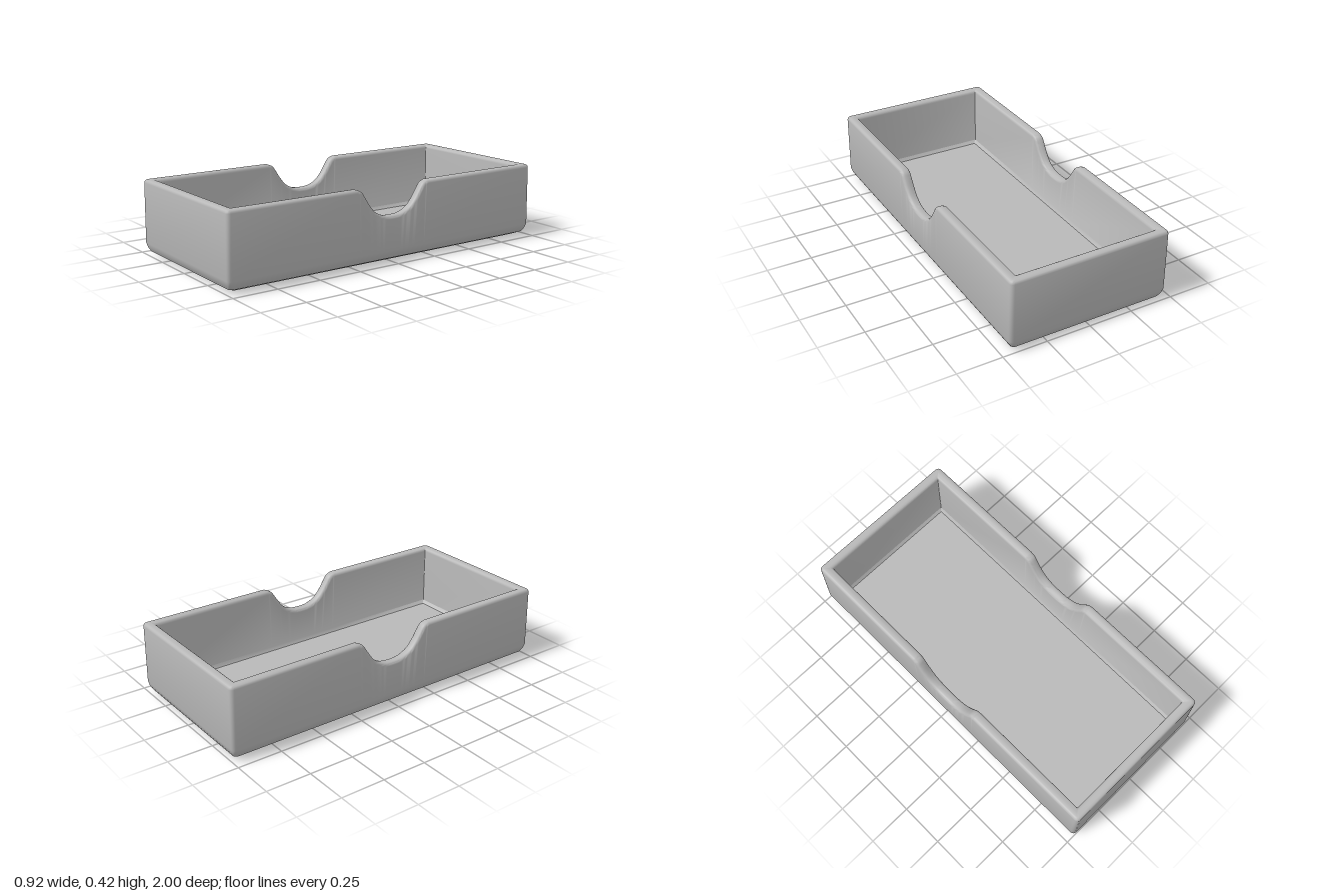
import * as THREE from 'three';
import { toCreasedNormals } from 'three/addons/utils/BufferGeometryUtils.js';

const TOP = 0.417;

// Finger notch edge, from the middle of a long side (z = 0) out to the straight rim
const notchHalf = [[0, 0.253], [0.06, 0.259], [0.112, 0.284], [0.15, 0.325], [0.18, 0.37], [0.204, 0.403], [0.235, TOP]];
const notchCurve = new THREE.CatmullRomCurve3(
  [...notchHalf.slice(1).reverse().map(([z, y]) => [z, y]), ...notchHalf.map(([z, y]) => [-z, y])]
    .map(([z, y]) => new THREE.Vector3(0, y, z)));
const STEPS = 48;
const notch = [];
for (let i = 0; i <= STEPS; i++) {
  const p = notchCurve.getPoint(i / STEPS);
  const t = notchCurve.getTangent(i / STEPS);
  const end = i === 0 || i === STEPS;
  notch.push({ z: p.z, y: p.y, nz: end ? 0 : t.y, ny: end ? 1 : -t.z }); // normal points up and out
}

// Wall section: half width, half length, corner radius, then height y or depth d below the rim
const outerWall = [
  { x: 0.395, z: 0.935, r: 0.01, y: 0 },
  { x: 0.44, z: 0.982, r: 0.02, y: 0.02 },
  { x: 0.453, z: 0.994, r: 0.022, y: 0.042 },
  { x: 0.46, z: 1.0, r: 0.022, y: 0.067 },
];
const rim = [];
for (let i = 0; i <= 4; i++) { // outer rounding
  const a = (i / 4) * Math.PI / 2, s = 0.018 * (1 - Math.cos(a));
  rim.push({ x: 0.457 - s, z: 0.997 - s, r: 0.022 - s * 0.5, d: 0.018 * (1 - Math.sin(a)) });
}
for (let i = 0; i <= 4; i++) { // inner rounding
  const a = (i / 4) * Math.PI / 2, s = 0.02 * (1 - Math.sin(a));
  rim.push({ x: 0.4 + s, z: 0.942 + s, r: 0.004, d: 0.02 * (1 - Math.cos(a)) });
}
const innerWall = [
  { x: 0.398, z: 0.94, r: 0.004, y: 0.066 },
  { x: 0.385, z: 0.927, r: 0.003, y: 0.047 },
];

// One closed loop around the tray, counter-clockwise from above
function ring({ x, z, r, y, d }) {
  const pts = [];
  const flatY = d === undefined ? y : TOP - d;
  const corner = (k) => {
    const sx = k === 0 || k === 3 ? 1 : -1, sz = k < 2 ? -1 : 1;
    for (let i = 0; i <= 4; i++) {
      const a = (k + i / 4) * Math.PI / 2;
      pts.push([sx * (x - r) + r * Math.cos(a), flatY, sz * (z - r) - r * Math.sin(a)]);
    }
  };
  const side = (s) => {
    for (const n of notch) {
      if (d === undefined) pts.push([s * x, y, s * n.z]);
      else pts.push([s * x, n.y - n.ny * d, s * (n.z - n.nz * d)]);
    }
  };
  side(1); corner(0); corner(1); side(-1); corner(2); corner(3);
  return pts;
}

function finish(positions) {
  const g = new THREE.BufferGeometry();
  g.setAttribute('position', new THREE.Float32BufferAttribute(positions, 3));
  return toCreasedNormals(g, 0.6);
}

// Skin between successive loops
function loft(sections) {
  const rings = sections.map(ring), out = [];
  for (let k = 0; k < rings.length - 1; k++) {
    const n = rings[k].length;
    for (let j = 0; j < n; j++) {
      const m = (j + 1) % n;
      const a = rings[k][j], b = rings[k][m], c = rings[k + 1][m], e = rings[k + 1][j];
      out.push(...a, ...b, ...c, ...a, ...c, ...e);
    }
  }
  return finish(out);
}

// Flat panel filling a loop
function cap(section, up) {
  const p = ring(section), out = [];
  p.forEach((a, j) => {
    const b = p[(j + 1) % p.length];
    out.push(0, section.y, 0, ...(up ? a : b), ...(up ? b : a));
  });
  return finish(out);
}

export function createModel() {
  const group = new THREE.Group();
  group.name = 'openTray';
  const grey = new THREE.MeshStandardMaterial({ color: 0xb8b8b8 });
  grey.name = 'plainGrey';
  const add = (name, geometry) => {
    const mesh = new THREE.Mesh(geometry, grey);
    mesh.name = name;
    group.add(mesh);
  };
  add('walls', loft([...outerWall, ...rim, ...innerWall]));
  add('underside', cap(outerWall[0], false));
  add('floor', cap(innerWall[1], true));
  return group;
}
